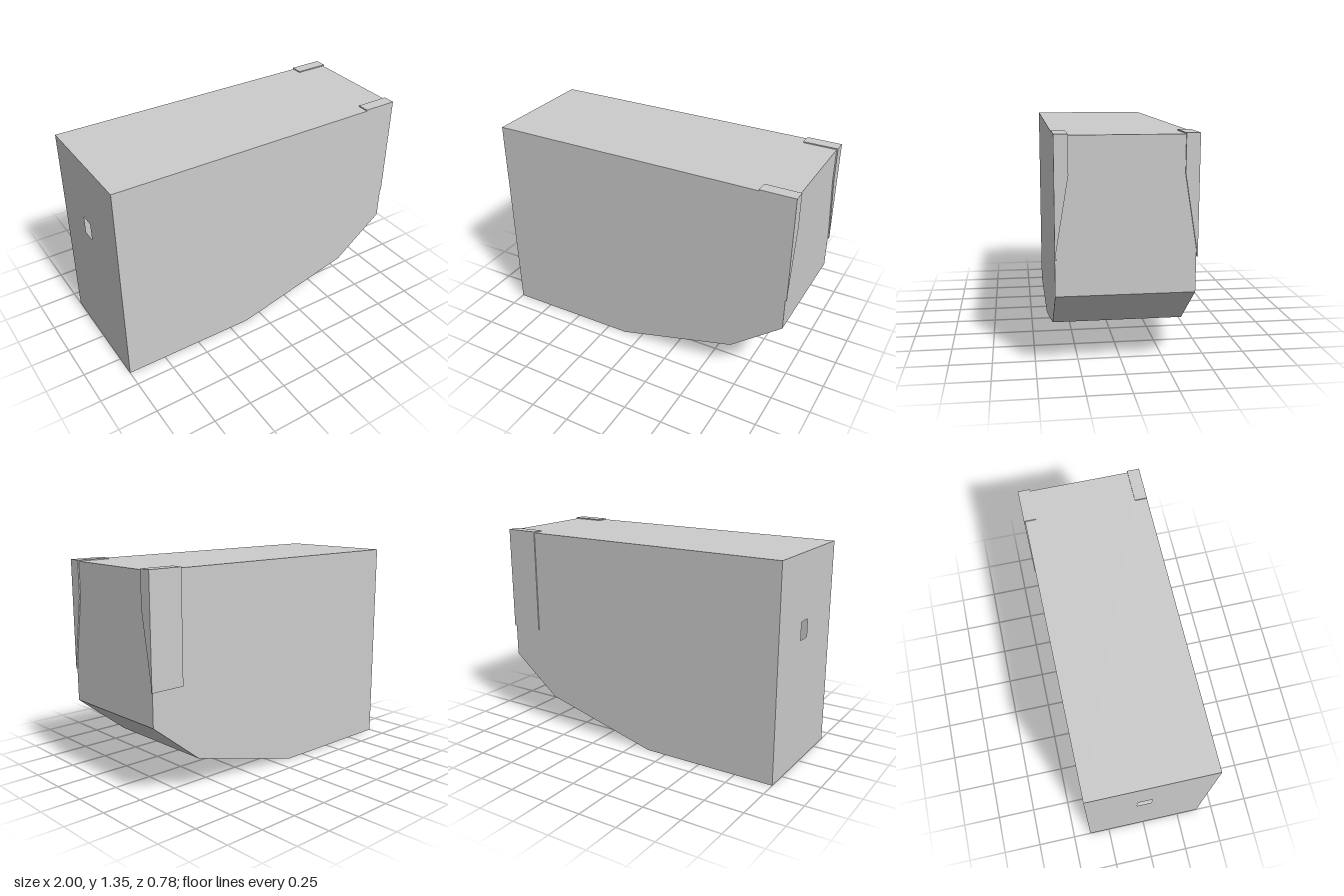
import * as THREE from 'three';

const material = new THREE.MeshStandardMaterial({ color: 0xcccccc, flatShading: true, side: THREE.DoubleSide });

const BACK = -0.385, FRONT = 0.392, TOP = 1.34, END = 0.992;

// Side outline, counter-clockwise from the lower -x corner
const profile = [[-1, 0], [-0.12, 0], [0.665, 0.205], [END, 0.465], [END, TOP], [-1, TOP]];

function toShape(points) {
  return new THREE.Shape(points.map(([x, y]) => new THREE.Vector2(x, y)));
}

function addMesh(parent, name, geometry) {
  const mesh = new THREE.Mesh(geometry, material);
  mesh.name = name;
  parent.add(mesh);
  return mesh;
}

// Box given by its two opposite corners
function addBox(parent, name, [x0, y0, z0], [x1, y1, z1]) {
  const box = new THREE.BoxGeometry(x1 - x0, y1 - y0, Math.abs(z1 - z0));
  box.translate((x0 + x1) / 2, (y0 + y1) / 2, (z0 + z1) / 2);
  return addMesh(parent, name, box);
}

// Hollow thin-walled body
function createBody() {
  const body = new THREE.Group();
  body.name = 'body';

  addMesh(body, 'frontWall', new THREE.ShapeGeometry(toShape(profile)).translate(0, 0, FRONT));
  addMesh(body, 'backWall', new THREE.ShapeGeometry(toShape(profile.map(([x, y]) => [-x, y])))
    .rotateY(Math.PI).translate(0, 0, BACK));

  // Bottom, sloped panels, +x end and top, following the outline
  const positions = [];
  for (let i = 0; i < profile.length - 1; i++) {
    const [ax, ay] = profile[i], [bx, by] = profile[i + 1];
    positions.push(ax, ay, FRONT, ax, ay, BACK, bx, by, BACK);
    positions.push(ax, ay, FRONT, bx, by, BACK, bx, by, FRONT);
  }
  const strip = new THREE.BufferGeometry();
  strip.setAttribute('position', new THREE.Float32BufferAttribute(positions, 3));
  strip.computeVertexNormals();
  addMesh(body, 'outerPanels', strip);

  // -x end wall with a small rectangular opening (shape x runs along z)
  const wall = toShape([[BACK, 0], [FRONT, 0], [FRONT, TOP], [BACK, TOP]]);
  wall.holes.push(toShape([[-0.07, 0.81], [-0.07, 0.925], [0.02, 0.925], [0.02, 0.81]]));
  addMesh(body, 'endWall', new THREE.ShapeGeometry(wall).rotateY(-Math.PI / 2).translate(-1, 0, 0));
  return body;
}

// Thin corner bracket: side plate, top tab and tapered end plate
function createBracket(name, side, outer) {
  const bracket = new THREE.Group();
  bracket.name = name;
  const inner = side * 0.315, out = side * outer;
  const top = 1.347, bottom = 0.67;

  // The side plate sits just behind the front wall, and proud of the back wall
  const face = side > 0 ? FRONT - 0.001 : out;
  addBox(bracket, 'sidePlate', [0.78, bottom, face - side * 0.007], [1, top, face]);
  addBox(bracket, 'topTab', [0.78, TOP - 0.002, inner], [1, top, out]);

  const plate = toShape([[-out, top], [-inner, top], [-inner, 1.13], [-out, bottom]]);
  const end = new THREE.ExtrudeGeometry(plate, { depth: 0.008, bevelEnabled: false });
  addMesh(bracket, 'endPlate', end.rotateY(Math.PI / 2).translate(END, 0, 0));
  return bracket;
}

export function createModel() {
  const model = new THREE.Group();
  model.name = 'hollowCase';
  model.add(createBody());
  model.add(createBracket('frontBracket', 1, FRONT));
  model.add(createBracket('backBracket', -1, 0.392));
  return model;
}
